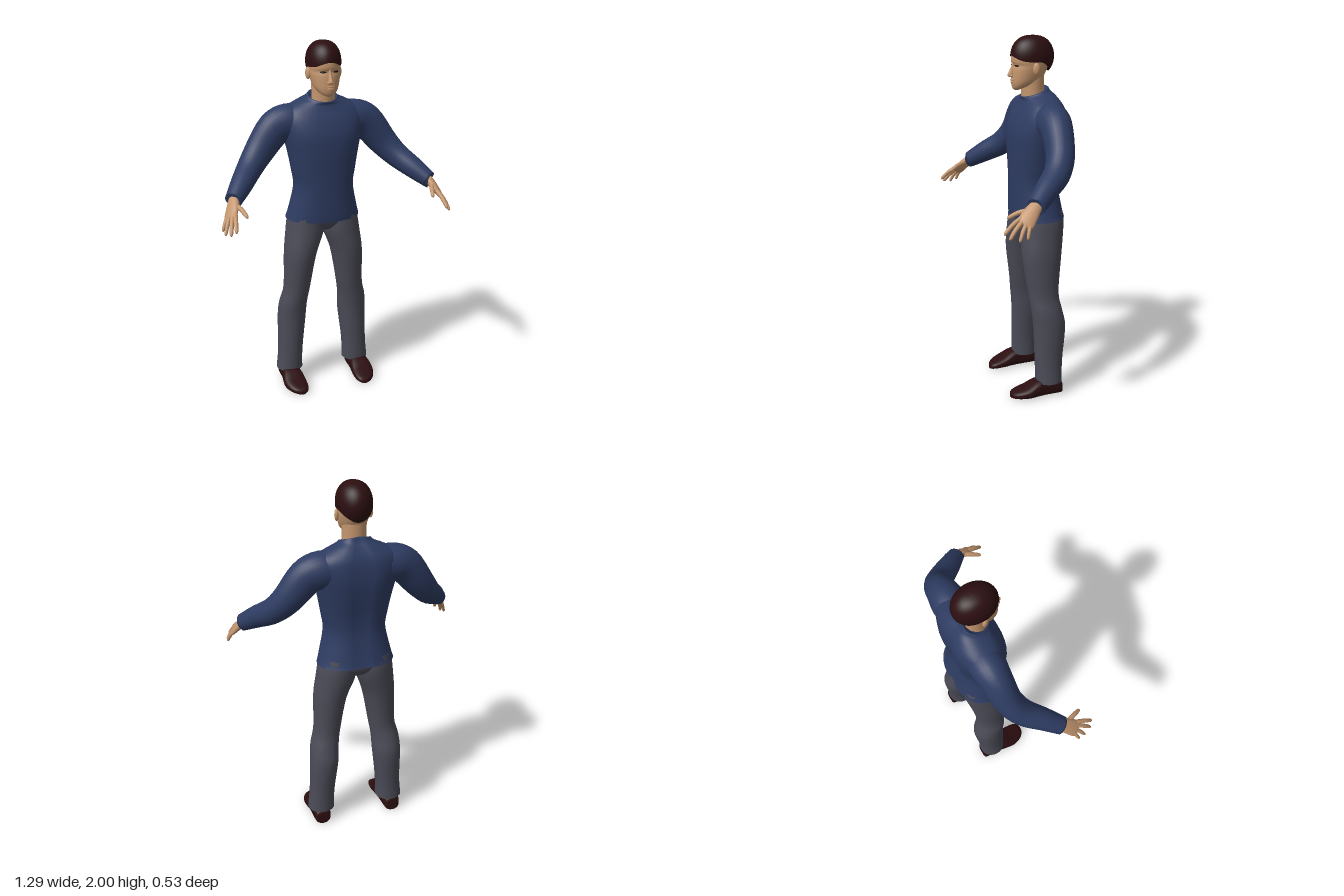
import * as THREE from 'three';

const paint = (name, color) => new THREE.MeshStandardMaterial({ name, color });

// Catmull-Rom resampling of rows of numbers
function smooth(rows, k = 4) {
  const out = [], last = rows.length - 1;
  for (let i = 0; i < last; i++) {
    const [a, b, c, d] = [rows[Math.max(i - 1, 0)], rows[i], rows[i + 1], rows[Math.min(i + 2, last)]];
    for (let j = 0; j < k; j++) {
      const t = j / k;
      out.push(b.map((p, n) => p + 0.5 * t * (c[n] - a[n] + t * (2 * a[n] - 5 * p + 4 * c[n] - d[n]
        + t * (3 * (p - c[n]) + d[n] - a[n])))));
    }
  }
  out.push(rows[last]);
  return out;
}

// Skin over closed rings of Vector3, with separate end caps
function loft(name, mat, rings) {
  const n = rings[0].length, pts = rings.flat(), idx = [];
  for (let i = 0; i < rings.length - 1; i++) {
    for (let j = 0; j < n; j++) {
      const a = i * n + j, b = i * n + (j + 1) % n;
      idx.push(a, b, a + n, b, b + n, a + n);
    }
  }
  [rings[0], rings[rings.length - 1]].forEach((ring, end) => {
    const base = pts.length;
    const mid = ring.reduce((m, p) => m.add(p), new THREE.Vector3()).divideScalar(n);
    pts.push(...ring, mid);
    for (let j = 0; j < n; j++) {
      const a = base + j, b = base + (j + 1) % n;
      if (end) idx.push(a, b, base + n); else idx.push(b, a, base + n);
    }
  });
  // turn the faces outward
  let volume = 0;
  const tmp = new THREE.Vector3();
  for (let i = 0; i < idx.length; i += 3) {
    volume += pts[idx[i]].dot(tmp.crossVectors(pts[idx[i + 1]], pts[idx[i + 2]]));
  }
  if (volume < 0) idx.reverse();
  const geo = new THREE.BufferGeometry().setFromPoints(pts);
  geo.setIndex(idx);
  geo.computeVertexNormals();
  const mesh = new THREE.Mesh(geo, mat);
  mesh.name = name;
  return mesh;
}

// Rounded-box ring: f receives the two section coordinates in -1..1
function ring(e, f, n = 32) {
  const pw = (v) => Math.sign(v) * Math.abs(v) ** e;
  return Array.from({ length: n }, (_, j) => {
    const a = (j / n) * Math.PI * 2;
    return f(pw(Math.sin(a)), pw(Math.cos(a)));
  });
}

// Upright form; rows: yFront, yBack, centreX, halfWidth, zFront, zBack, squareness
function column(name, mat, rows, s = 1, groove = 0) {
  return loft(name, mat, smooth(rows).map(([yf, yb, cx, hw, zf, zb, e]) => ring(e, (u, v) => {
    const x = cx + hw * u;
    const dent = v < 0 ? groove * Math.exp(-((x / 0.035) ** 2)) : 0;
    return new THREE.Vector3(s * x, yb + (yf - yb) * (v + 1) / 2, (zf + zb) / 2 + v * (zf - zb) / 2 + dent);
  })));
}

// Form along a path; rows: x, y, z, radius along ref, radius across
function limb(name, mat, rows, ref, s, n = 24) {
  const r = smooth(rows), pos = r.map((q) => new THREE.Vector3(q[0], q[1], q[2]));
  return loft(name, mat, r.map((q, i) => {
    const t = pos[Math.min(i + 1, r.length - 1)].clone().sub(pos[Math.max(i - 1, 0)]).normalize();
    const u = ref.clone().addScaledVector(t, -ref.dot(t)).normalize();
    const v = new THREE.Vector3().crossVectors(t, u);
    return ring(1, (a, b) => {
      const p = pos[i].clone().addScaledVector(u, a * q[3]).addScaledVector(v, b * q[4]);
      p.x *= s;
      return p;
    }, n);
  }));
}

function ellipsoid(name, mat, pos, size, rotY = 0) {
  const m = new THREE.Mesh(new THREE.SphereGeometry(1, 20, 14), mat);
  m.name = name;
  m.position.set(...pos);
  m.scale.set(...size);
  m.rotation.y = rotY;
  return m;
}

export function createModel() {
  const model = new THREE.Group();
  model.name = 'standingMan';
  const sweater = paint('navySweater', 0x2e3c62), trousers = paint('greyTrousers', 0x4a4b56);
  const skin = paint('skin', 0xc4966e), dark = paint('darkBrown', 0x2b0e10), black = paint('eyeBlack', 0x140c0c);

  // Sweater body with a tilted collar
  model.add(column('sweaterBody', sweater, [
    [1.01, 1.02, 0, 0.213, 0.015, -0.268, 0.9],
    [1.06, 1.06, 0, 0.2, 0.018, -0.258, 0.9],
    [1.2, 1.2, 0, 0.17, 0.02, -0.234, 0.88],
    [1.3, 1.3, 0, 0.182, 0.022, -0.237, 0.86],
    [1.4, 1.4, 0, 0.2, 0.025, -0.252, 0.85],
    [1.5, 1.5, 0, 0.222, 0.02, -0.265, 0.85],
    [1.58, 1.58, 0, 0.235, -0.005, -0.262, 0.85],
    [1.63, 1.635, 0, 0.215, -0.03, -0.25, 0.88],
    [1.66, 1.68, 0, 0.15, -0.042, -0.225, 0.95],
    [1.672, 1.71, 0, 0.098, -0.038, -0.202, 1],
    [1.678, 1.732, 0, 0.08, -0.042, -0.19, 1],
    [1.665, 1.715, 0, 0.068, -0.052, -0.172, 1]], 1, 0.015));

  // Trousers
  model.add(column('trouserHips', trousers, [
    [1.06, 1.06, 0, 0.18, -0.005, -0.24, 0.9],
    [1.0, 1.0, 0, 0.195, -0.01, -0.24, 0.9],
    [0.955, 0.955, 0, 0.13, -0.04, -0.21, 0.9],
    [0.935, 0.935, 0, 0.05, -0.08, -0.17, 1]]));

  for (const s of [1, -1]) {
    const side = s > 0 ? 'left' : 'right';
    model.add(column(side + 'TrouserLeg', trousers, [
      [1.06, 1.06, 0.095, 0.095, -0.005, -0.24, 0.95],
      [1.0, 1.0, 0.102, 0.103, -0.004, -0.245, 0.95],
      [0.93, 0.93, 0.109, 0.106, 0, -0.24, 0.95],
      [0.8, 0.8, 0.14, 0.09, 0, -0.22, 0.95],
      [0.6, 0.6, 0.161, 0.075, -0.027, -0.2, 0.95],
      [0.5, 0.5, 0.18, 0.079, -0.04, -0.215, 0.95],
      [0.4, 0.4, 0.187, 0.08, -0.05, -0.232, 0.95],
      [0.2, 0.2, 0.2, 0.071, -0.055, -0.212, 0.95],
      [0.08, 0.08, 0.207, 0.076, -0.058, -0.208, 0.95]], s));

    // Shoe; rows: z, centreX, halfWidth, height
    model.add(loft(side + 'Shoe', dark, smooth([
      [-0.206, 0.213, 0.03, 0.06], [-0.19, 0.213, 0.046, 0.085], [-0.1, 0.212, 0.053, 0.1],
      [-0.05, 0.213, 0.06, 0.09], [0, 0.212, 0.064, 0.064], [0.05, 0.205, 0.055, 0.045],
      [0.08, 0.198, 0.037, 0.032], [0.092, 0.195, 0.015, 0.018]])
      .map(([z, cx, hw, h]) => ring(0.7, (u, v) => new THREE.Vector3(s * (cx + hw * u), (h / 2) * (1 + v), z)))));

    // Sleeve
    model.add(limb(side + 'Sleeve', sweater, [
      [0.09, 1.56, -0.14, 0.09, 0.09],
      [0.19, 1.563, -0.142, 0.1, 0.095],
      [0.27, 1.53, -0.138, 0.097, 0.084],
      [0.36, 1.42, -0.122, 0.083, 0.075],
      [0.43, 1.34, -0.075, 0.07, 0.07],
      [0.5, 1.278, 0.01, 0.06, 0.06],
      [0.558, 1.226, 0.078, 0.047, 0.05],
      [0.562, 1.222, 0.083, 0.046, 0.049]], new THREE.Vector3(1, 1, 0), s));

    // Hand: palm, fingers and thumb
    const hand = new THREE.Group(), across = new THREE.Vector3(-0.5, 0.3, 0.8);
    hand.name = side + 'Hand';
    hand.add(limb('palm', skin, [
      [0.535, 1.25, 0.05, 0.032, 0.026],
      [0.56, 1.222, 0.085, 0.034, 0.025],
      [0.58, 1.188, 0.122, 0.042, 0.021],
      [0.6, 1.15, 0.155, 0.044, 0.015],
      [0.604, 1.142, 0.163, 0.034, 0.008]], across, s));
    const digits = [
      ['indexFinger', [0.578, 1.17, 0.178], [0.595, 1.102, 0.262], 0.012],
      ['middleFinger', [0.592, 1.16, 0.168], [0.619, 1.082, 0.242], 0.012],
      ['ringFinger', [0.604, 1.152, 0.15], [0.638, 1.073, 0.197], 0.011],
      ['littleFinger', [0.612, 1.146, 0.132], [0.643, 1.083, 0.157], 0.01],
      ['thumb', [0.558, 1.205, 0.125], [0.524, 1.163, 0.222], 0.013]];
    for (const [name, a, b, r] of digits) {
      const at = (t, w) => [...a.map((p, i) => p + (b[i] - p) * t + (i === 1 ? 0.008 * Math.sin(t * Math.PI) : 0)), w, w];
      hand.add(limb(name, skin, [at(-0.25, r), at(0.1, r), at(0.5, r * 0.95), at(0.85, r * 0.8), at(0.96, r * 0.55),
        at(1, r * 0.15)], across, s, 12));
    }
    model.add(hand);

    // Ear, eye and nostril wing
    model.add(ellipsoid(side + 'Ear', skin, [s * 0.089, 1.83, -0.092], [0.012, 0.032, 0.019], s * -0.4));
    model.add(ellipsoid(side + 'Eye', black, [s * 0.035, 1.845, 0.0], [0.018, 0.005, 0.007], s * 0.35));
    model.add(ellipsoid(side + 'NostrilWing', skin, [s * 0.012, 1.79, 0.02], [0.008, 0.007, 0.011]));
  }

  // Neck and head
  model.add(column('neck', skin, [
    [1.63, 1.63, 0, 0.07, -0.045, -0.172, 1],
    [1.7, 1.7, 0, 0.064, -0.042, -0.165, 1],
    [1.8, 1.8, 0, 0.066, -0.04, -0.165, 1]]));
  model.add(column('head', skin, [
    [1.712, 1.73, 0, 0.022, -0.005, -0.06, 1],
    [1.722, 1.745, 0, 0.046, 0.009, -0.1, 1],
    [1.75, 1.765, 0, 0.065, 0.016, -0.14, 0.95],
    [1.79, 1.79, 0, 0.076, 0.016, -0.163, 0.95],
    [1.825, 1.825, 0, 0.083, 0.013, -0.18, 0.95],
    [1.846, 1.846, 0, 0.085, 0.008, -0.188, 0.95],
    [1.868, 1.868, 0, 0.086, 0.016, -0.195, 0.95],
    [1.91, 1.91, 0, 0.086, 0.013, -0.2, 1],
    [1.95, 1.95, 0, 0.072, -0.01, -0.18, 1],
    [1.975, 1.975, 0, 0.045, -0.05, -0.15, 1]]));
  model.add(column('nose', skin, [
    [1.862, 1.862, 0, 0.008, 0.014, -0.01, 1],
    [1.84, 1.84, 0, 0.009, 0.019, -0.01, 1],
    [1.81, 1.81, 0, 0.012, 0.033, -0.01, 1],
    [1.793, 1.793, 0, 0.013, 0.04, -0.01, 1],
    [1.783, 1.783, 0, 0.01, 0.03, -0.01, 1]]));
  model.add(ellipsoid('upperLip', skin, [0, 1.767, 0.012], [0.026, 0.005, 0.011]));
  model.add(ellipsoid('lowerLip', skin, [0, 1.756, 0.012], [0.022, 0.005, 0.011]));

  // Hair cap: high over the brow, low at the nape
  const steps = 16;
  model.add(loft('hair', dark, Array.from({ length: steps + 1 }, (_, i) => ring(1, (u, v) => {
    const rim = v > 0 ? 1.77 - 0.28 * v ** 4 * 1 + 0.02 : 1.79 + 0.6 * v * v;
    const phi = 0.03 + (rim - 0.03) * (i / steps), r = Math.sin(phi) ** 0.8;
    return new THREE.Vector3(0.094 * r * u, 1.89 + 0.11 * Math.cos(phi), -0.1 + 0.12 * r * v);
  }, 40))));
  return model;
}
